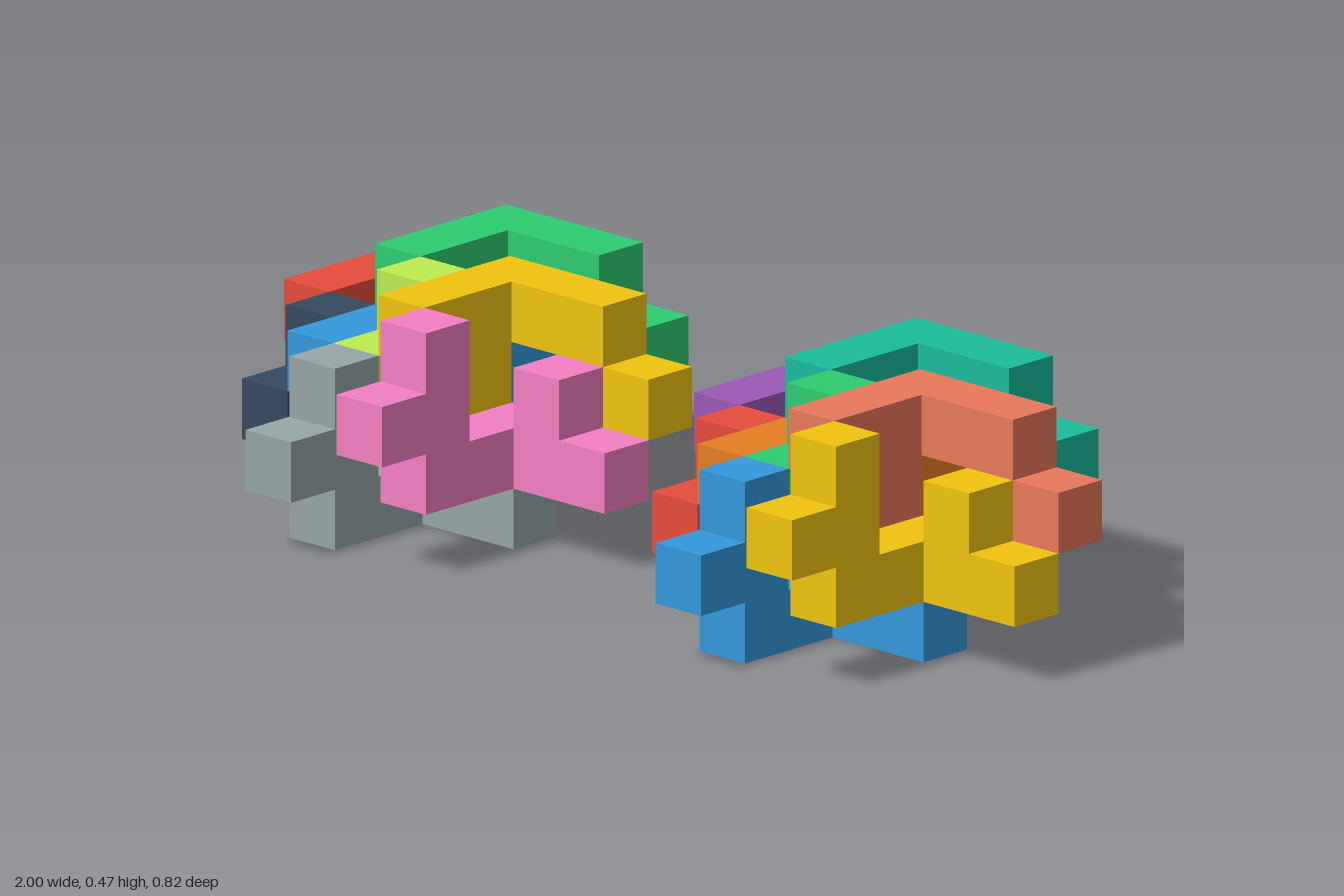
import * as THREE from 'three';
import { mergeGeometries } from 'three/addons/utils/BufferGeometryUtils.js';

const U = 2 / 17; // edge of one cube

// Interlocking piece: an L-shaped base with a studded post and a small bump
const STANDING = [
  [0, 0, 0], [0, 0, 1], [0, 0, 2], [1, 0, 0], [2, 0, 0], // L base
  [0, 1, 2], [0, 2, 2], [0, 1, 3],                       // post and stud
  [1, 1, 0],                                             // bump
];
// Its turned-over partner hangs downward
const HANGING = STANDING.map(([x, y, z]) => [z, -y, x]);

// Euler turns that point a +z plane along each axis direction
const FACES = [
  [[0, 0, 1], 0, 0], [[0, 0, -1], 0, Math.PI],
  [[1, 0, 0], 0, Math.PI / 2], [[-1, 0, 0], 0, -Math.PI / 2],
  [[0, 1, 0], -Math.PI / 2, 0], [[0, -1, 0], Math.PI / 2, 0],
];

// Outer skin of a set of cubes, without the faces between neighbours
function cubesGeometry(cells) {
  const key = (x, y, z) => `${x},${y},${z}`;
  const filled = new Set(cells.map((c) => key(...c)));
  const quads = [];
  for (const [x, y, z] of cells) {
    for (const [[dx, dy, dz], rx, ry] of FACES) {
      if (filled.has(key(x + dx, y + dy, z + dz))) continue;
      const quad = new THREE.PlaneGeometry(U, U);
      quad.translate(0, 0, U / 2).rotateX(rx).rotateY(ry);
      quad.translate((x + 0.5) * U, (y + 0.5) * U, (z + 0.5) * U);
      quads.push(quad);
    }
  }
  return mergeGeometries(quads);
}

// Each piece: name, shape, grid position of its corner, colours in the two clusters
const PIECES = [
  ['lowerBackHangingPiece', HANGING, [0, 2, 0], 0xe74c3c, 0x9b59b6],
  ['lowerFrontHangingPiece', HANGING, [2, 2, 2], 0x3498db, 0xe67e22],
  ['upperBackHangingPiece', HANGING, [2, 3, 0], 0x2ecc71, 0x1abc9c],
  ['upperFrontHangingPiece', HANGING, [4, 3, 2], 0xf1c40f, 0xe97859],
  ['lowerBackStandingPiece', STANDING, [1, 0, 1], 0x34495e, 0xe74c3c],
  ['lowerFrontStandingPiece', STANDING, [3, 0, 3], 0x95a5a6, 0x3498db],
  ['upperBackStandingPiece', STANDING, [3, 1, 1], 0xbdec50, 0x2ecc71],
  ['upperFrontStandingPiece', STANDING, [5, 1, 3], 0xf47fc2, 0xf1c40f],
];

export function createModel() {
  const model = new THREE.Group();
  model.name = 'interlockingPieces';
  const geometries = new Map([STANDING, HANGING].map((s) => [s, cubesGeometry(s)]));

  // Two equal clusters side by side, one cube apart
  ['rightCluster', 'leftCluster'].forEach((clusterName, i) => {
    const cluster = new THREE.Group();
    cluster.name = clusterName;
    cluster.position.set((i * 9 - 8.5) * U, 0, -3.5 * U);
    for (const [name, shape, corner, ...colors] of PIECES) {
      const material = new THREE.MeshStandardMaterial({ color: colors[i] });
      const piece = new THREE.Mesh(geometries.get(shape), material);
      piece.name = name;
      piece.position.set(...corner).multiplyScalar(U);
      cluster.add(piece);
    }
    model.add(cluster);
  });
  return model;
}
